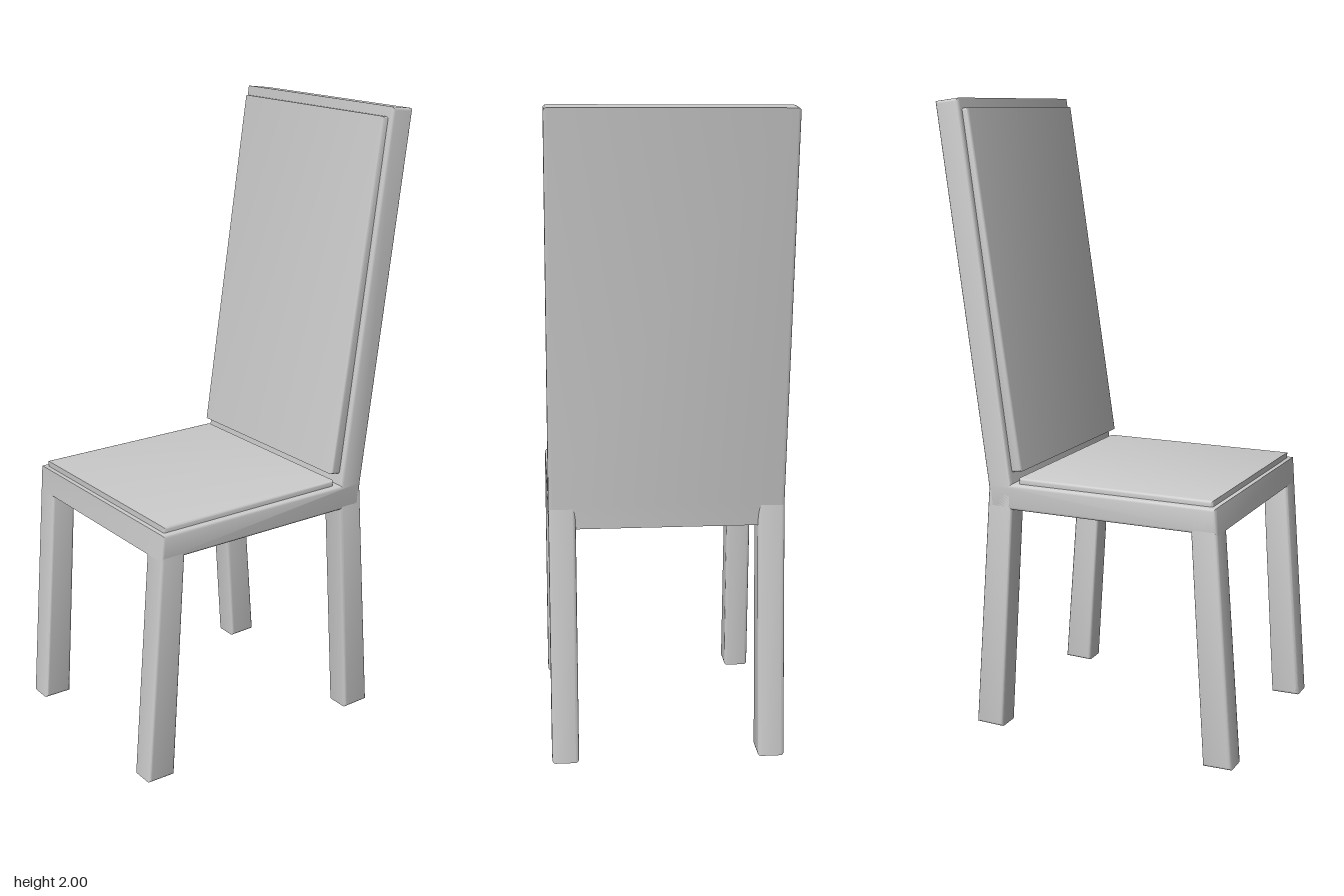
import * as THREE from 'three';
import { toCreasedNormals } from 'three/addons/utils/BufferGeometryUtils.js';

const material = new THREE.MeshStandardMaterial({ color: 0xcccccc });

// Side outline (x, y) extruded from z0 to z1 with softly rounded edges
function slab(name, points, z0, z1, bevel) {
  const shape = new THREE.Shape(points.map(([x, y]) => new THREE.Vector2(x, y)));
  const geometry = new THREE.ExtrudeGeometry(shape, {
    depth: z1 - z0 - 2 * bevel,
    bevelEnabled: true,
    bevelSize: bevel,
    bevelThickness: bevel,
    bevelOffset: -bevel,
    bevelSegments: 3,
  });
  geometry.translate(0, 0, z0 + bevel);
  const mesh = new THREE.Mesh(toCreasedNormals(geometry, 0.7), material);
  mesh.name = name;
  return mesh;
}

export function createModel() {
  const chair = new THREE.Group();
  chair.name = 'chair';
  const halfWidth = 0.363, legWidth = 0.083;

  // Seat and leaning back in one bent piece
  chair.add(slab('seatAndBack', [
    [-0.441, 0.735], [0.326, 0.735], [0.332, 0.81], [0.491, 1.99],
    [0.41, 2.0], [0.25, 0.818], [-0.435, 0.818],
  ], -halfWidth, halfWidth, 0.01));

  // Thin upholstery pads
  chair.add(slab('seatPad', [
    [-0.42, 0.8], [0.232, 0.8], [0.232, 0.836], [-0.42, 0.836],
  ], -0.345, 0.345, 0.008));
  chair.add(slab('backPad', [
    [0.222, 0.858], [0.262, 0.852], [0.417, 1.968], [0.387, 1.972],
  ], -0.345, 0.345, 0.008));

  // Splayed legs, running up into the seat
  const frontLeg = [[-0.496, 0.002], [-0.402, 0], [-0.353, 0.79], [-0.436, 0.8]];
  const backLeg = [[0.297, 0], [0.392, 0.002], [0.331, 0.8], [0.246, 0.79]];
  for (const side of [-1, 1]) {
    const z0 = side < 0 ? -halfWidth : halfWidth - legWidth;
    const prefix = side < 0 ? 'firstSide' : 'secondSide';
    chair.add(slab(prefix + 'FrontLeg', frontLeg, z0, z0 + legWidth, 0.01));
    chair.add(slab(prefix + 'BackLeg', backLeg, z0, z0 + legWidth, 0.01));
  }
  return chair;
}
